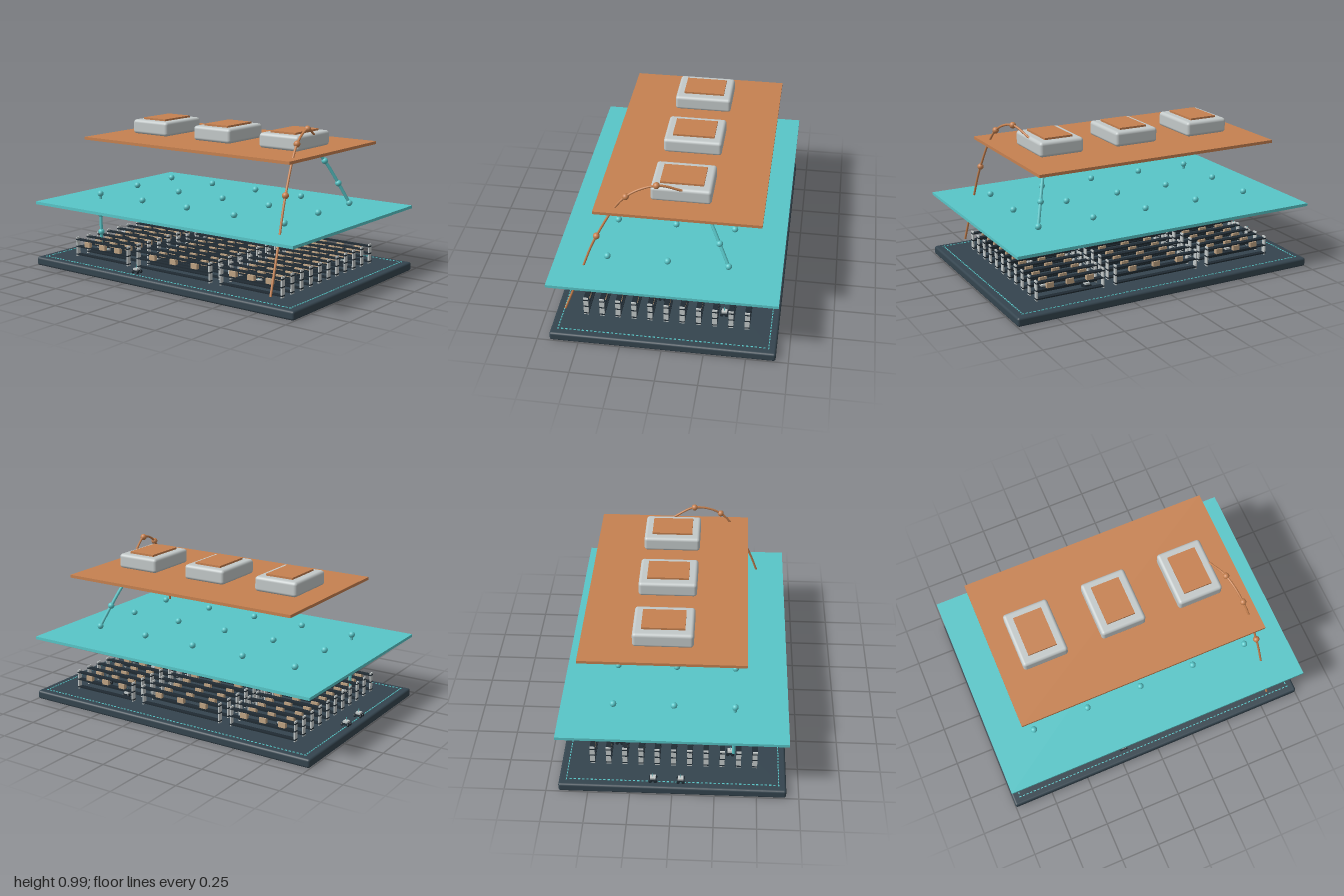
import * as THREE from 'three';
import { RoundedBoxGeometry } from 'three/addons/geometries/RoundedBoxGeometry.js';

const mat = (name, color) => Object.assign(new THREE.MeshStandardMaterial({ color }), { name });

export function createModel() {
  const model = new THREE.Group();
  const slate = mat('slate', 0x34444e);
  const teal = mat('teal', 0x58c6c8);
  const copper = mat('copper', 0xc68150);
  const grey = mat('pale grey', 0xc3c9c9);
  const dark = mat('dark', 0x202b33);
  const tan = mat('cardboard', 0xbfa383);

  const add = (parent, name, geo, material, x = 0, y = 0, z = 0) => {
    const mesh = new THREE.Mesh(geo, material);
    mesh.name = name;
    mesh.position.set(x, y, z);
    parent.add(mesh);
    return mesh;
  };
  const group = (name, x = 0, y = 0, z = 0) => {
    const g = new THREE.Group();
    g.name = name;
    g.position.set(x, y, z);
    model.add(g);
    return g;
  };
  const box = (w, h, d) => new THREE.BoxGeometry(w, h, d);
  const ball = new THREE.SphereGeometry(0.02, 20, 14);

  // Floor slab and the three stacked layers
  add(model, 'floorSlab', new RoundedBoxGeometry(2, 0.055, 1.35, 3, 0.014), slate, 0, 0.0275, 0);
  add(model, 'middleLayer', box(1.985, 0.018, 1.35), teal, 0, 0.413, 0);
  add(model, 'topLayer', box(1.585, 0.018, 0.97), copper, 0, 0.82, -0.065);

  // Dashed border on the floor
  const border = group('floorBorder', 0, 0.0565, 0);
  const dashX = box(0.014, 0.004, 0.006);
  const dashZ = box(0.006, 0.004, 0.014);
  for (const s of [-1, 1]) {
    for (let i = 0; i <= 76; i++) add(border, 'dash', dashX, teal, -0.95 + i * 0.025, 0, s * 0.63);
    for (let i = 1; i < 50; i++) add(border, 'dash', dashZ, teal, s * 0.95, 0, -0.63 + i * 0.0252);
  }

  // Racks: eleven rows in three bays
  const bays = [[-0.587, 0.444, 0.13], [-0.002, 0.574, 0.165], [0.583, 0.444, 0.13]];
  const post = box(0.008, 0.125, 0.03);
  const carton = box(0.046, 0.032, 0.024);
  for (let row = 0; row < 11; row++) {
    for (const [x, width, gap] of bays) {
      const rack = group('rack', x, 0.055, 0.488 - row * 0.0976);
      for (const s of [-1, 1]) add(rack, 'rackPost', post, grey, s * (width / 2 - 0.004), 0.0625, 0);
      for (const y of [0.012, 0.064, 0.11])
        add(rack, 'shelf', box(width + 0.002, 0.008, 0.031), dark, 0, y, 0);
      for (let i = -1; i <= 1; i++) add(rack, 'carton', carton, tan, i * gap, 0.084, 0);
    }
  }

  // Small wheeled robots in the aisles
  const wheel = new THREE.CylinderGeometry(0.01, 0.01, 0.008, 12).rotateZ(Math.PI / 2);
  const mast = new THREE.CylinderGeometry(0.002, 0.002, 0.022, 6);
  const robots = [
    [-0.94, -0.115], [-0.94, 0.05], [-0.215, 0.585], [-0.69, 0.34], [-0.62, -0.34],
    [-0.135, 0.15], [0.45, -0.44], [0.53, 0.34], [0.6, 0.05], [0.69, -0.34],
  ];
  for (const [x, z] of robots) {
    const robot = group('robot', x, 0.055, z);
    add(robot, 'chassis', box(0.036, 0.012, 0.044), dark, 0, 0.014, 0);
    add(robot, 'body', box(0.03, 0.014, 0.034), grey, 0, 0.025, 0);
    add(robot, 'mast', mast, teal, 0, 0.042, 0);
    for (const sx of [-1, 1])
      for (const sz of [-1, 1]) add(robot, 'wheel', wheel, dark, sx * 0.02, 0.01, sz * 0.015);
  }

  // Grid of nodes above the middle layer
  for (let i = -2; i <= 2; i++)
    for (let j = -1; j <= 1; j++) add(model, 'node', ball, teal, i * 0.36, 0.457, j * 0.36);

  // Rounded units with inset lids on the top layer
  for (const x of [-0.51, -0.005, 0.5]) {
    const unit = group('processorUnit', x, 0.829, -0.067);
    add(unit, 'unitBody', new RoundedBoxGeometry(0.286, 0.092, 0.356, 4, 0.02), grey, 0, 0.046, 0);
    add(unit, 'unitLid', box(0.18, 0.016, 0.255), copper, 0, 0.096, 0);
  }

  // Cables linking the layers, with beads along them
  const cable = (name, material, radius, points, beads) => {
    const g = group(name);
    const curve = new THREE.CatmullRomCurve3(points.map((p) => new THREE.Vector3(...p)));
    add(g, 'cable', new THREE.TubeGeometry(curve, 48, radius, 10), material);
    for (const i of beads) add(g, 'bead', ball, material, ...points[i]);
  };
  cable('outerCable', copper, 0.007, [
    [0.805, 0.09, 0.615], [0.785, 0.35, 0.517], [0.76, 0.63, 0.41], [0.72, 0.9, 0.238],
    [0.68, 0.965, 0.066], [0.635, 0.912, -0.075],
  ], [2, 3, 4]);
  cable('upperCable', teal, 0.01, [
    [0.72, 0.457, -0.36], [0.675, 0.585, -0.3], [0.62, 0.73, -0.225], [0.565, 0.85, -0.135],
  ], [1, 2]);
  cable('lowerCable', teal, 0.01, [
    [-0.72, 0.457, 0.36], [-0.72, 0.4, 0.36], [-0.72, 0.322, 0.36], [-0.72, 0.203, 0.36],
    [-0.72, 0.09, 0.36],
  ], [1, 2, 3]);

  return model;
}
